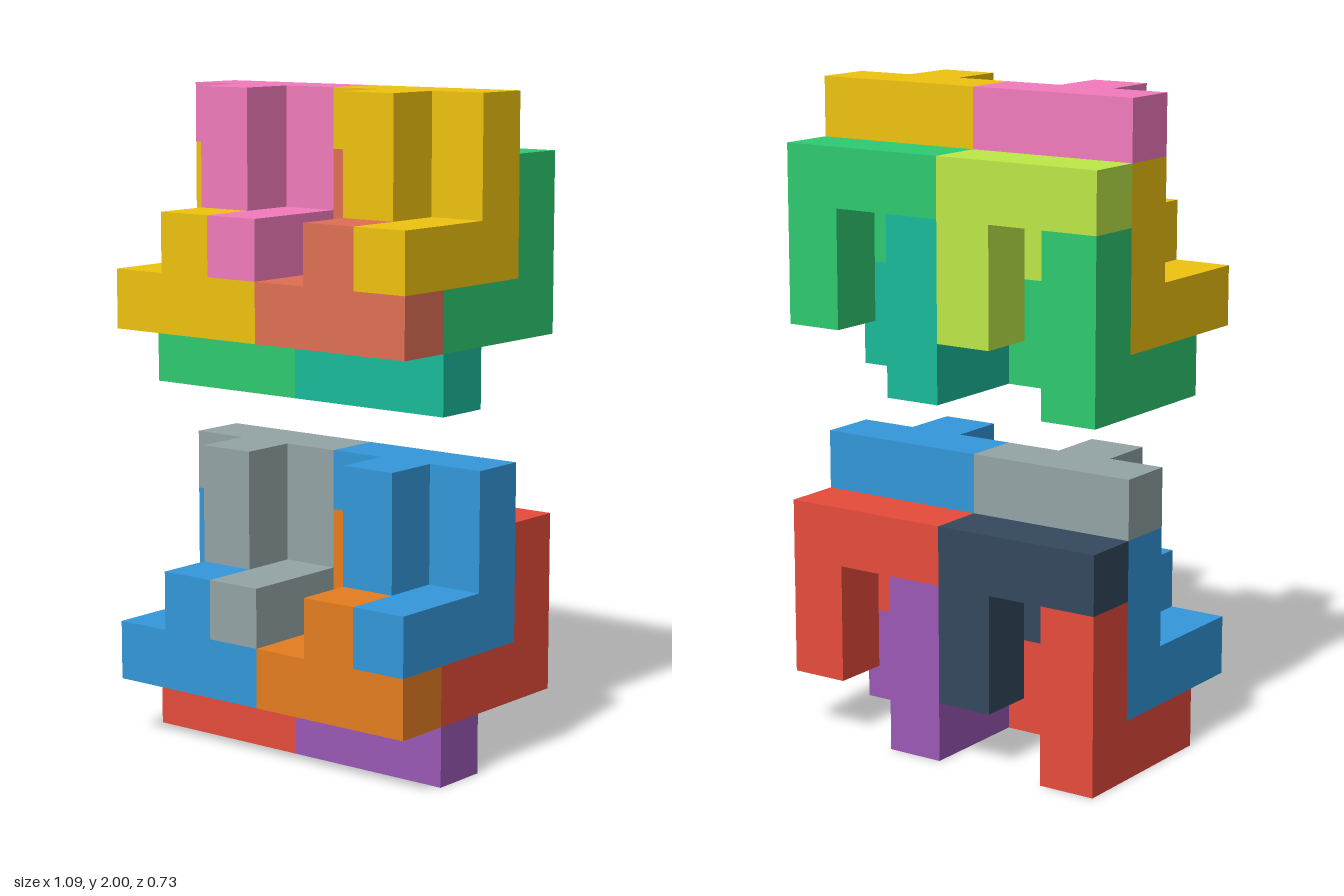
import * as THREE from 'three';
import { mergeGeometries } from 'three/addons/utils/BufferGeometryUtils.js';

const U = 2 / 11; // edge of one cube cell
const add = (a, b) => a.map((v, i) => v + b[i]);

// Cells of one bent bar: three edges of a cube corner path, plus a two-cell hook on the first edge
function bentBar(start, d1, d2, d3) {
  const cells = [start];
  for (const d of [d1, d1, d2, d2, d3, d3]) cells.push(add(cells[cells.length - 1], d));
  const hook = add(cells[1], d3);
  cells.push(hook, add(hook, d2));
  return cells;
}

// Closed skin around a set of cells: a square wherever a cell has no neighbour
function skin(cells) {
  const filled = new Set(cells.map(String));
  const dirs = [[1, 0, 0], [-1, 0, 0], [0, 1, 0], [0, -1, 0], [0, 0, 1], [0, 0, -1]];
  const faces = [];
  for (const c of cells) {
    for (const d of dirs) {
      if (filled.has(String(add(c, d)))) continue;
      const n = new THREE.Vector3(...d);
      const face = new THREE.PlaneGeometry(U, U);
      if (d[1]) face.rotateX(-d[1] * Math.PI / 2);
      else face.rotateY(Math.atan2(n.x, n.z));
      face.translate(
        (c[0] - 2.5 + d[0] / 2) * U,
        (c[1] + 0.5 + d[1] / 2) * U,
        (c[2] - 1.5 + d[2] / 2) * U
      );
      faces.push(face);
    }
  }
  return mergeGeometries(faces);
}

// Six interlocking bars; colors: [back, backAlt, base, front, frontAlt, frontBase]
function puzzle(name, [back, backAlt, base, front, frontAlt, frontBase]) {
  const group = new THREE.Group();
  group.name = name;
  const upper = (x, y, z) => bentBar([x, y, z], [1, 0, 0], [0, -1, 0], [0, 0, 1]);
  const lower = (x, y, z) => bentBar([x + 2, y, z], [-1, 0, 0], [0, 0, -1], [0, 1, 0]);
  const parts = [
    ['frontUpperRightBar', upper(0, 4, 1), frontAlt],
    ['frontUpperLeftBar', upper(3, 4, 1), front],
    ['frontLowerRightBar', lower(0, 1, 3), front],
    ['frontLowerLeftBar', lower(3, 1, 3), frontBase],
    ['backUpperRightBar', upper(0, 3, 0), backAlt],
    ['backUpperLeftBar', upper(3, 3, 0), back],
    ['backLowerRightBar', lower(0, 0, 2), back],
    ['backLowerLeftBar', lower(3, 0, 2), base],
  ];
  for (const [partName, cells, color] of parts) {
    const mesh = new THREE.Mesh(skin(cells), new THREE.MeshStandardMaterial({ color }));
    mesh.name = partName;
    group.add(mesh);
  }
  return group;
}

export function createModel() {
  const model = new THREE.Group();
  model.name = 'interlockingBlocks';
  const bottom = puzzle('lowerBlock', [0xe74c3c, 0x34495e, 0x9b59b6, 0x3498db, 0x95a5a6, 0xe67e22]);
  const top = puzzle('upperBlock', [0x2ecc71, 0xbeea48, 0x1abc9c, 0xf1c40f, 0xf47cbe, 0xe17055]);
  top.position.y = 6 * U;
  model.add(bottom, top);
  return model;
}
